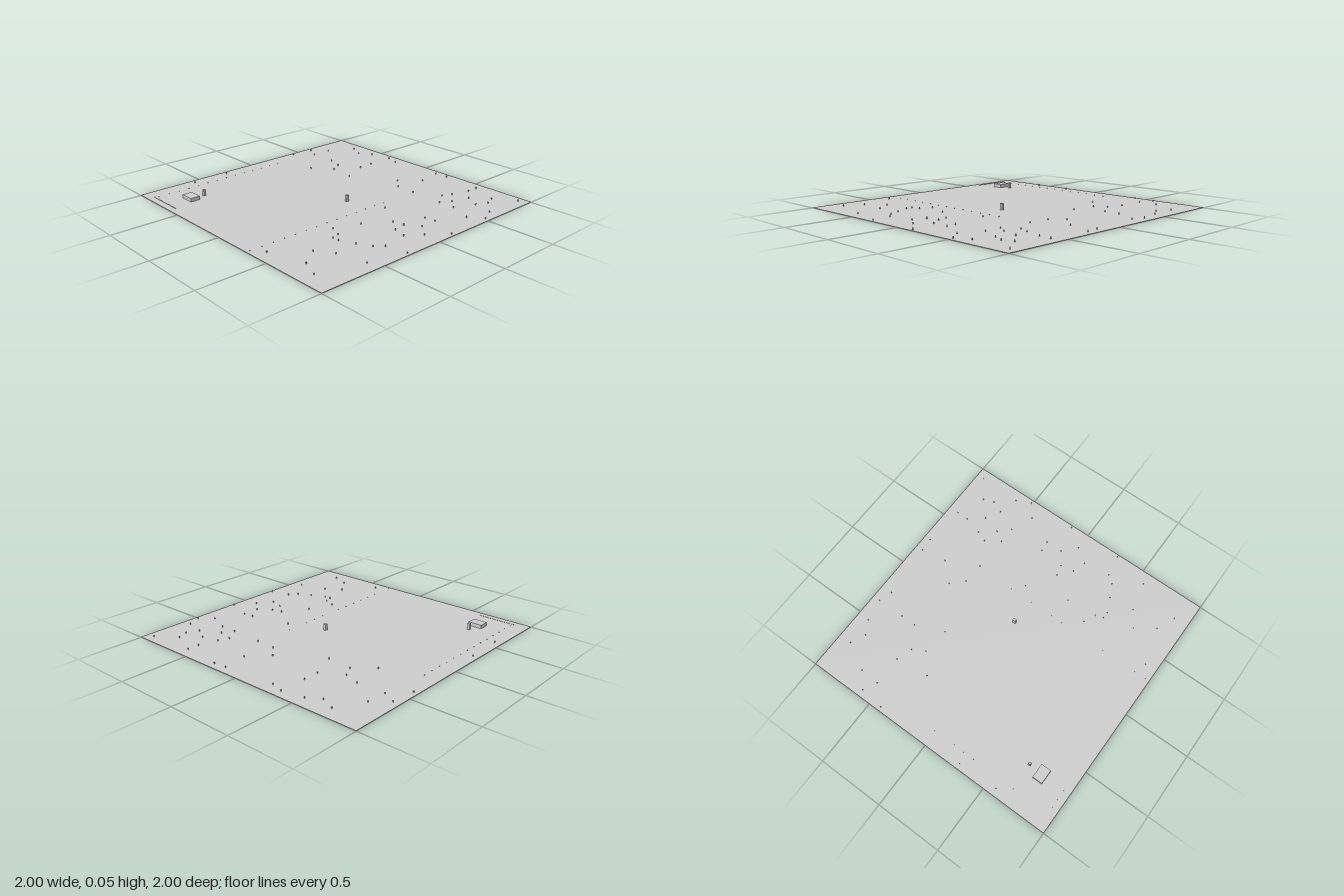
import * as THREE from 'three';

export function createModel() {
  const model = new THREE.Group();
  const grey = new THREE.MeshStandardMaterial({ color: 0xcccccc });
  grey.name = 'light grey';

  // Box resting on a given base height
  function block(name, w, h, d, x, z, base = 0, parent = model) {
    const mesh = new THREE.Mesh(new THREE.BoxGeometry(w, h, d), grey);
    mesh.name = name;
    mesh.position.set(x, base + h / 2, z);
    parent.add(mesh);
    return mesh;
  }

  function group(name) {
    const g = new THREE.Group();
    g.name = name;
    model.add(g);
    return g;
  }

  // Flat ground, the low building and the two towers
  block('ground', 2, 0.003, 2, 0, 0);
  block('building', 0.077, 0.03, 0.108, -0.765, -0.69);
  block('smallTower', 0.018, 0.05, 0.018, -0.66, -0.682);
  block('centralTower', 0.023, 0.05, 0.02, 0.037, 0.1);

  // Scattered posts, as x, z pairs
  const spots = [
    -0.57, -0.95, -0.27, -0.96, 0.42, -0.97, 0.6, -0.95, 0.55, -0.85, 0.7, -0.84,
    0.9, -0.73, 0.55, -0.63, 0.3, -0.6, 0.85, -0.62, 0.51, -0.51, 0.42, -0.46,
    0.91, -0.52, 0.61, -0.35, 0.73, -0.35, 0.94, -0.35, 0.4, -0.26, 0.91, -0.25,
    0.61, 0.06, 0.52, 0.15, 0.94, 0.16, 0.75, 0.19, 0.95, 0.26, 0.51, 0.31,
    0.14, 0.38, -0.37, 0.4, -0.91, 0.39, -0.41, 0.49, -0.47, 0.51, -0.18, 0.47,
    -0.69, 0.57, -0.47, 0.56, 0.61, 0.5, 0.69, 0.53, 0.83, 0.57, 0.92, 0.57,
    0, 0.59, 0.5, 0.57, 0.58, 0.62, -0.83, 0.67, -0.61, 0.69, -0.42, 0.67,
    -0.08, 0.69, 0.02, 0.67, 0.21, 0.69, 0.5, 0.7, 0.72, 0.66, -0.37, 0.77,
    -0.11, 0.79, 0.09, 0.77, 0.22, 0.77, 0.66, 0.77, 0.83, 0.78, -0.89, 0.81,
    -0.31, 0.82, 0.75, 0.81, 0, 0.87, 0.43, 0.87, 0.62, 0.92, -0.56, 0.91,
    0.94, 0.93, -0.28, 0.98, 0.14, 0.98, 0.51, 0.97,
  ];
  const posts = group('scatteredPosts');
  for (let i = 0; i < spots.length; i += 2) {
    block('post', 0.005, 0.017, 0.005, spots[i], spots[i + 1], 0, posts);
  }

  // Two long rows of low markers
  for (const [name, z, start, end] of [
    ['frontMarkerRow', 0.3, -0.97, 0.21],
    ['backMarkerRow', -0.88, -0.92, 0.18],
  ]) {
    const row = group(name);
    const count = 14;
    for (let i = 0; i < count; i++) {
      const x = start + ((end - start) * i) / (count - 1);
      block('marker', 0.004, 0.007, 0.004, x, z, 0, row);
    }
  }

  // Dense fence beside the building
  const fence = group('fence');
  for (let i = 0; i < 20; i++) {
    block('fencePost', 0.003, 0.007, 0.004, -0.95, -0.885 + i * 0.015, 0, fence);
  }

  return model;
}
